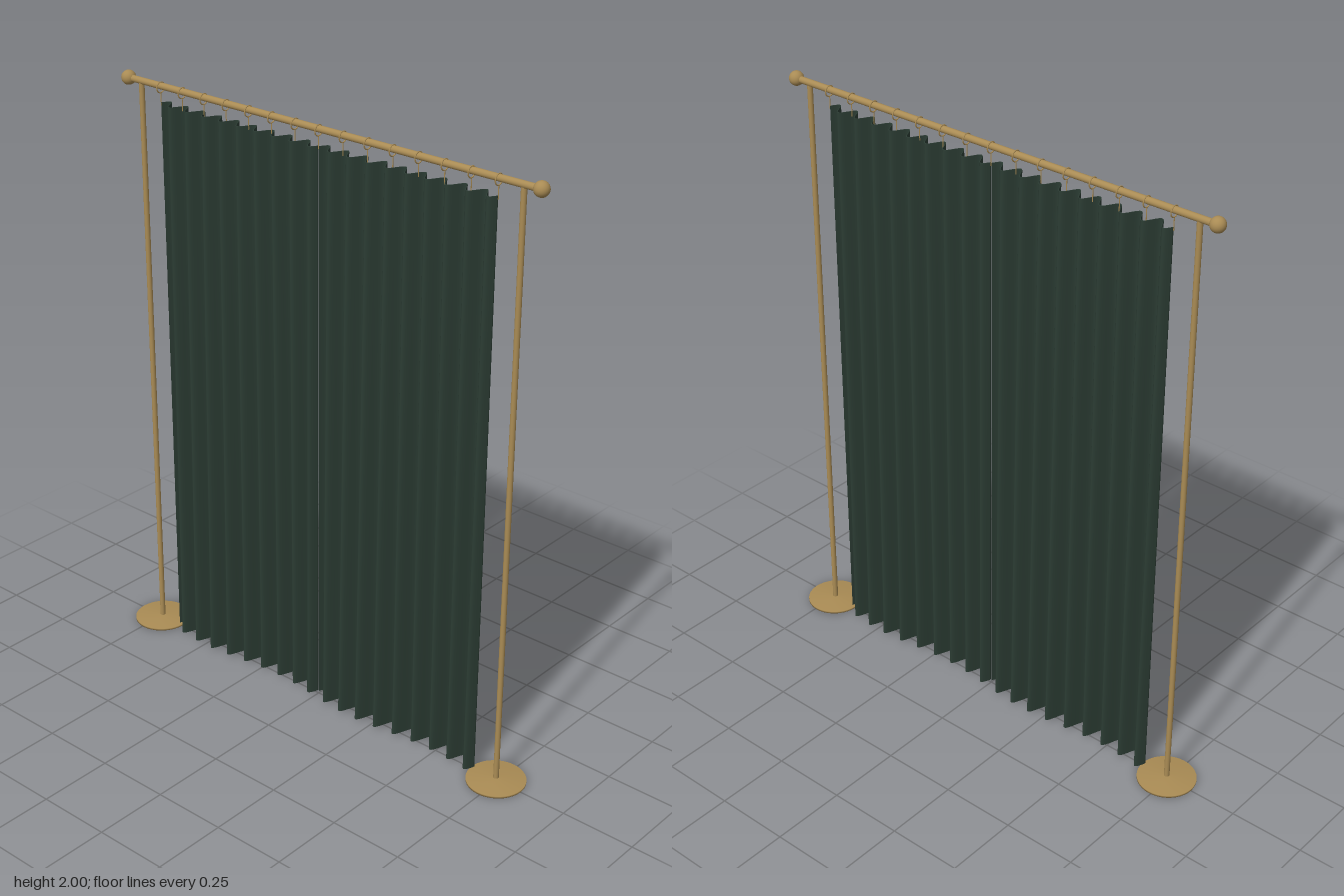
import * as THREE from 'three';

export function createModel() {
  const model = new THREE.Group();
  const brass = new THREE.MeshStandardMaterial({ color: 0xa98b54 });
  brass.name = 'brass';
  const fabric = new THREE.MeshStandardMaterial({ color: 0x2c3d34, side: THREE.DoubleSide });
  fabric.name = 'dark green fabric';

  const add = (name, geometry, material, x, y, z = 0) => {
    const mesh = new THREE.Mesh(geometry, material);
    mesh.name = name;
    mesh.position.set(x, y, z);
    model.add(mesh);
    return mesh;
  };

  const rodY = 1.976;

  // Horizontal rod
  add('rod', new THREE.CylinderGeometry(0.011, 0.011, 1.6, 24), brass, 0, rodY).rotation.z = Math.PI / 2;

  // Stands: softly domed foot, post and ball finial on each side
  const footProfile = [[0, 0], [0.096, 0], [0.096, 0.007], [0, 0.012]].map(p => new THREE.Vector2(...p));
  const foot = new THREE.LatheGeometry(footProfile, 40);
  const post = new THREE.CylinderGeometry(0.009, 0.009, rodY - 0.008, 20);
  const ball = new THREE.SphereGeometry(0.024, 24, 16);
  for (const [side, s] of [['left', 1], ['right', -1]]) {
    add(side + 'Foot', foot, brass, s * 0.742, 0);
    add(side + 'Post', post, brass, s * 0.742, (rodY + 0.008) / 2);
    add(side + 'Finial', ball, brass, s * 0.8, rodY);
  }

  // Pleated panels: nine folds that deepen and drift towards the hem
  const width = 0.652, bottom = 0.01, top = 1.923;
  const panel = new THREE.BoxGeometry(width, top - bottom, 0.004, 144, 16, 1);
  const pos = panel.attributes.position;
  for (let i = 0; i < pos.count; i++) {
    const u = pos.getX(i) / width + 0.5;
    const drop = 0.5 - pos.getY(i) / (top - bottom);
    const fold = -(0.023 + 0.01 * drop) * Math.sin(u * 9 * Math.PI * 2);
    const drift = 0.014 * drop * Math.sin(u * Math.PI * 2);
    pos.setZ(i, pos.getZ(i) + fold + drift);
  }
  panel.computeVertexNormals();
  add('leftCurtain', panel, fabric, width / 2 + 0.003, (top + bottom) / 2);
  add('rightCurtain', panel, fabric, -width / 2 - 0.003, (top + bottom) / 2);

  // Rings on the rod with a short hook down to the fabric
  const ring = new THREE.TorusGeometry(0.017, 0.002, 8, 28);
  const hook = new THREE.CylinderGeometry(0.0015, 0.0015, 0.042, 8);
  for (let i = 0; i < 15; i++) {
    const x = -0.657 + i * 1.314 / 14;
    add('ring', ring, brass, x, rodY - 0.005).rotation.y = Math.PI / 2;
    add('hook', hook, brass, x, 1.934);
  }
  return model;
}
